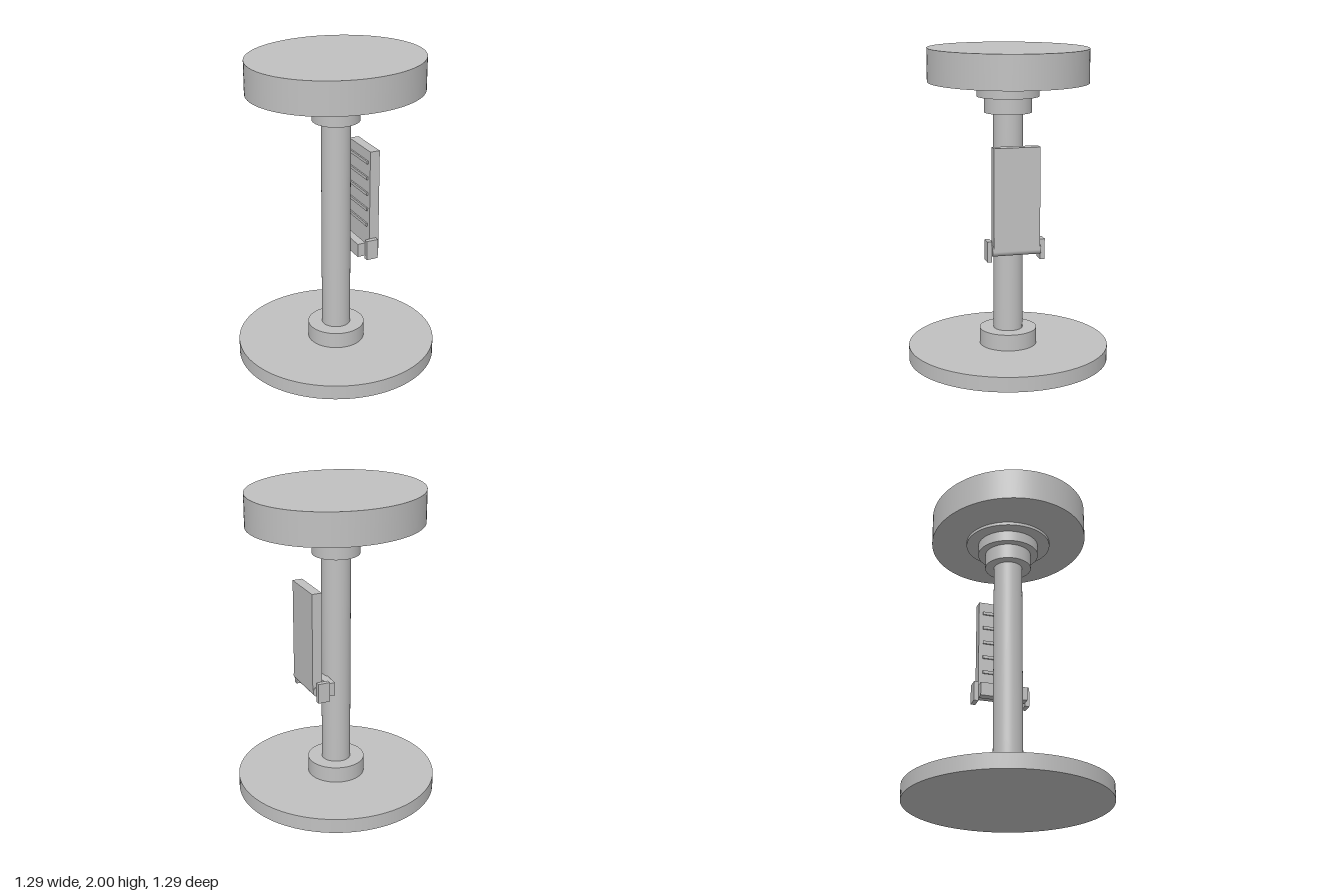
import * as THREE from 'three';

export function createModel() {
  const group = new THREE.Group();
  const grey = new THREE.MeshStandardMaterial({ color: 0xc0c0c0 });
  grey.name = 'light grey';

  const add = (name, geometry, x, y, z) => {
    const mesh = new THREE.Mesh(geometry, grey);
    mesh.name = name;
    mesh.position.set(x, y, z);
    group.add(mesh);
    return mesh;
  };
  // Upright disc between two heights
  const disc = (name, r, y0, y1) =>
    add(name, new THREE.CylinderGeometry(r, r, y1 - y0, 96), 0, (y0 + y1) / 2, 0);
  // Box given by its limits
  const box = (name, x0, x1, y0, y1, z0, z1) =>
    add(name, new THREE.BoxGeometry(x1 - x0, y1 - y0, z1 - z0),
      (x0 + x1) / 2, (y0 + y1) / 2, (z0 + z1) / 2);

  // Base, column and stepped mount
  disc('base', 0.643, 0, 0.095);
  disc('baseCollar', 0.183, 0.095, 0.2);
  disc('column', 0.093, 0.2, 1.6);
  disc('lowerMount', 0.15, 1.6, 1.7);
  disc('upperMount', 0.197, 1.7, 1.77);
  disc('mountPlate', 0.275, 1.77, 1.79);

  // Oval seat
  disc('seat', 1, 1.79, 2).scale.set(0.565, 1, 0.5);

  // Folded footrest with ribs on its inner face
  box('footrestPanel', 0.165, 0.23, 0.762, 1.41, -0.147, 0.147);
  for (let i = 0; i < 5; i++) {
    const y = 0.91 + i * 0.1055;
    box('footrestRib', 0.155, 0.165, y - 0.01, y + 0.01, -0.12, 0.12);
  }

  // Hinge rod, mounting bar and end brackets
  const rod = new THREE.CylinderGeometry(0.0325, 0.0325, 0.308, 32).rotateX(Math.PI / 2);
  add('hingeRod', rod, 0.1975, 0.762, 0);
  box('mountingBar', 0.08, 0.135, 0.715, 0.803, -0.154, 0.154);
  for (const s of [-1, 1]) {
    add('hingeBracket', new THREE.BoxGeometry(0.078, 0.13, 0.03), 0.169, 0.76, s * 0.169);
  }
  return group;
}
